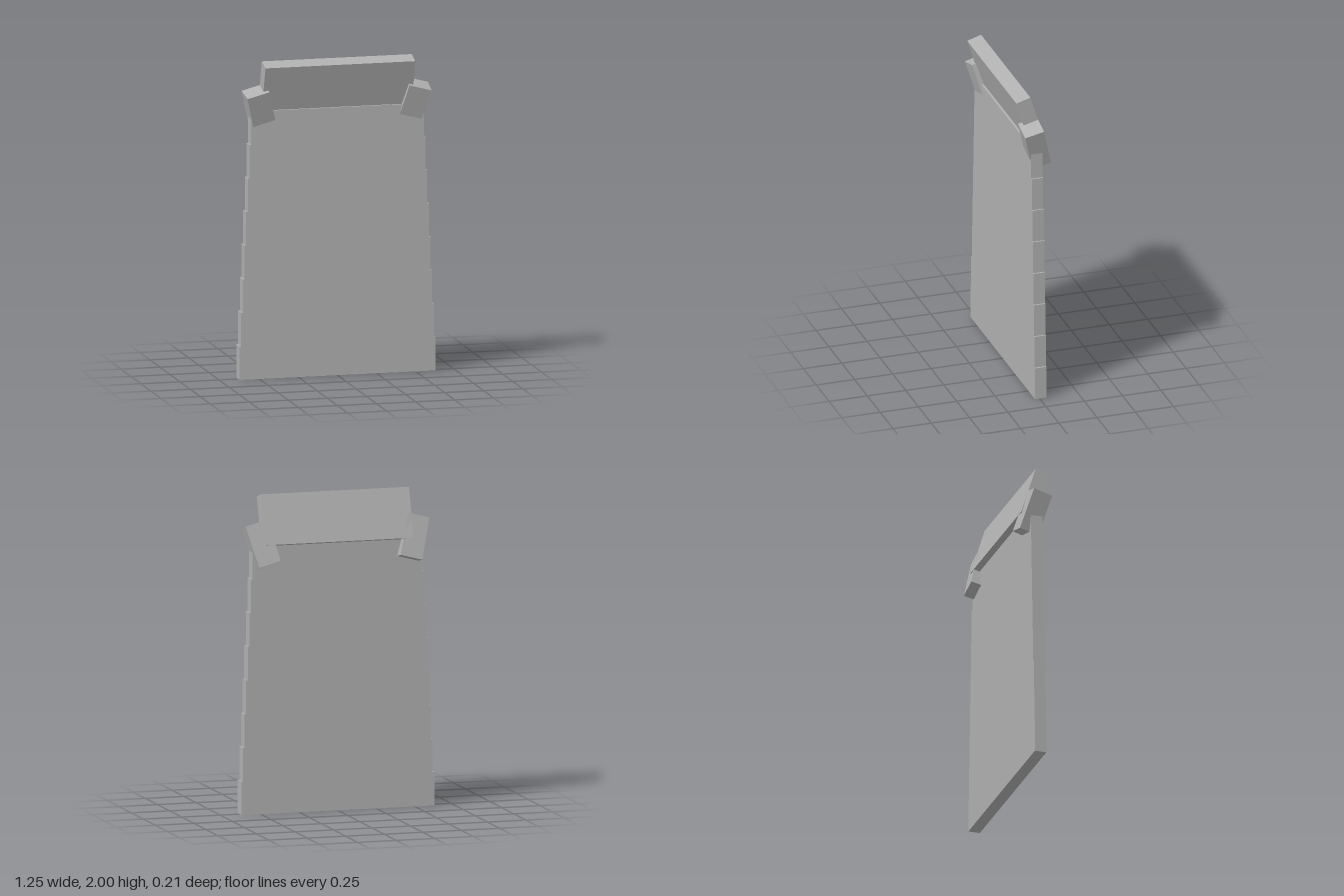
import * as THREE from 'three';

export function createModel() {
  const model = new THREE.Group();
  model.name = 'cape';

  const cloth = new THREE.MeshStandardMaterial({ color: 0xb0b0b0 });
  cloth.name = 'grey cloth';

  function box(name, size, position) {
    const mesh = new THREE.Mesh(new THREE.BoxGeometry(...size), cloth);
    mesh.name = name;
    mesh.position.set(...position);
    model.add(mesh);
    return mesh;
  }

  // Cape: eight slabs stacked from hem to neck, each slightly narrower
  const rows = 8, rowHeight = 1.69 / rows;
  for (let i = 0; i < rows; i++) {
    const halfWidth = 0.627 - i * 0.0106;
    box(`capeRow${i + 1}`, [halfWidth * 2, rowHeight, 0.075], [0, (i + 0.5) * rowHeight, -0.007]);
  }

  // Collar: wide slab leaning forward over the top of the cape
  box('collar', [0.96, 0.32, 0.095], [0, 1.833, 0.01]).rotation.x = 0.3;

  // Shoulder clasps: tilted outward and forward, mirrored
  for (const side of [1, -1]) {
    const clasp = box(side > 0 ? 'leftShoulderClasp' : 'rightShoulderClasp',
      [0.145, 0.27, 0.125], [side * 0.489, 1.687, -0.013]);
    clasp.rotation.set(0.26, 0, -side * 0.26, 'ZXY');
  }

  return model;
}
